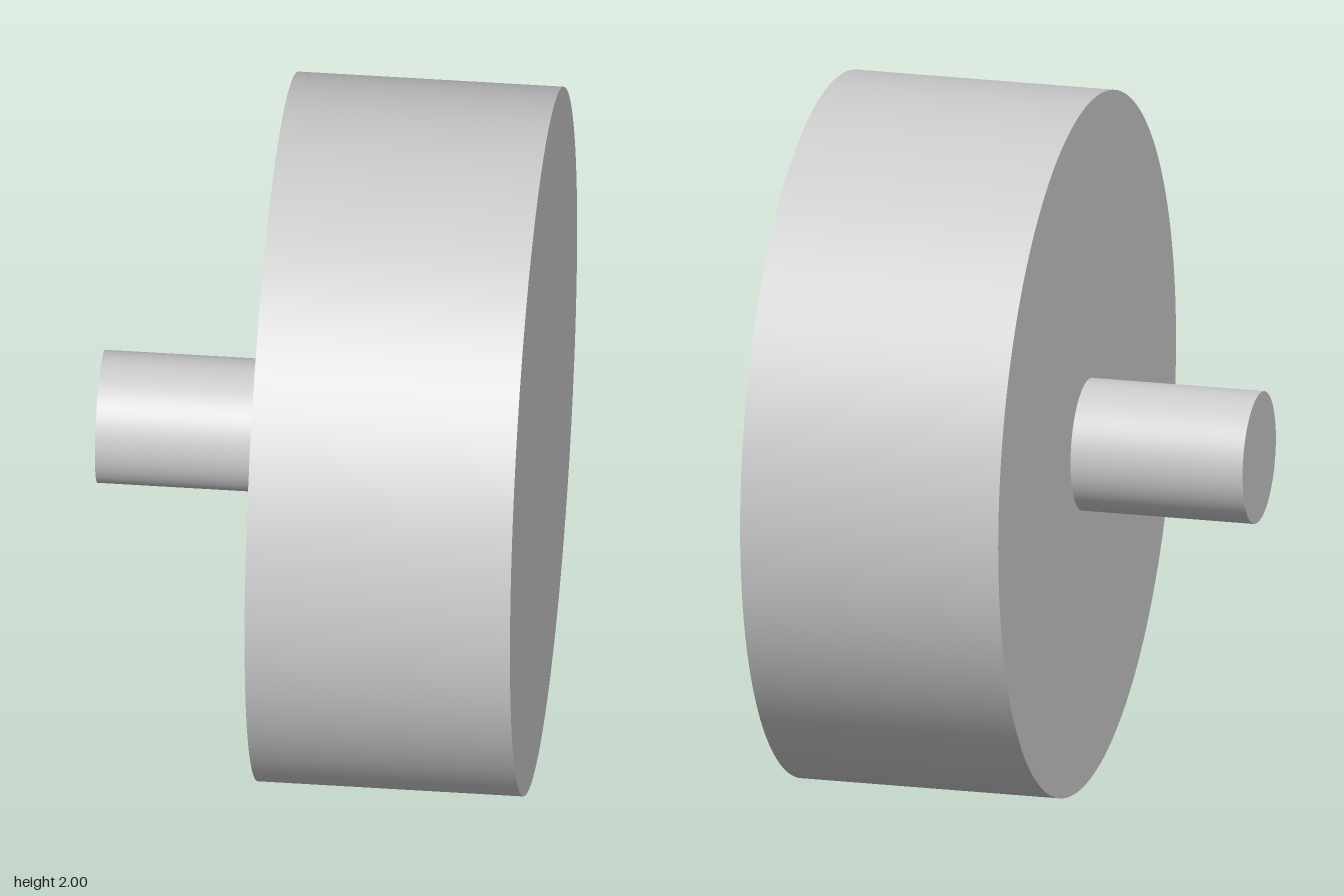
import * as THREE from 'three';

const material = new THREE.MeshStandardMaterial({ color: 0xcccccc });

// Solid cylinder lying along x, from x0 to x1, centred on the axle height
function axialCylinder(name, radius, x0, x1, segments) {
  const geometry = new THREE.CylinderGeometry(radius, radius, x1 - x0, segments);
  geometry.rotateZ(-Math.PI / 2);
  const mesh = new THREE.Mesh(geometry, material);
  mesh.name = name;
  mesh.position.set((x0 + x1) / 2, 1, 0);
  return mesh;
}

export function createModel() {
  const model = new THREE.Group();
  model.name = 'wheelWithAxle';
  // Broad solid wheel
  model.add(axialCylinder('wheel', 1, -0.125, 0.625, 128));
  // Stub axle on the -x face
  model.add(axialCylinder('axle', 0.1875, -0.625, -0.125, 64));
  return model;
}
